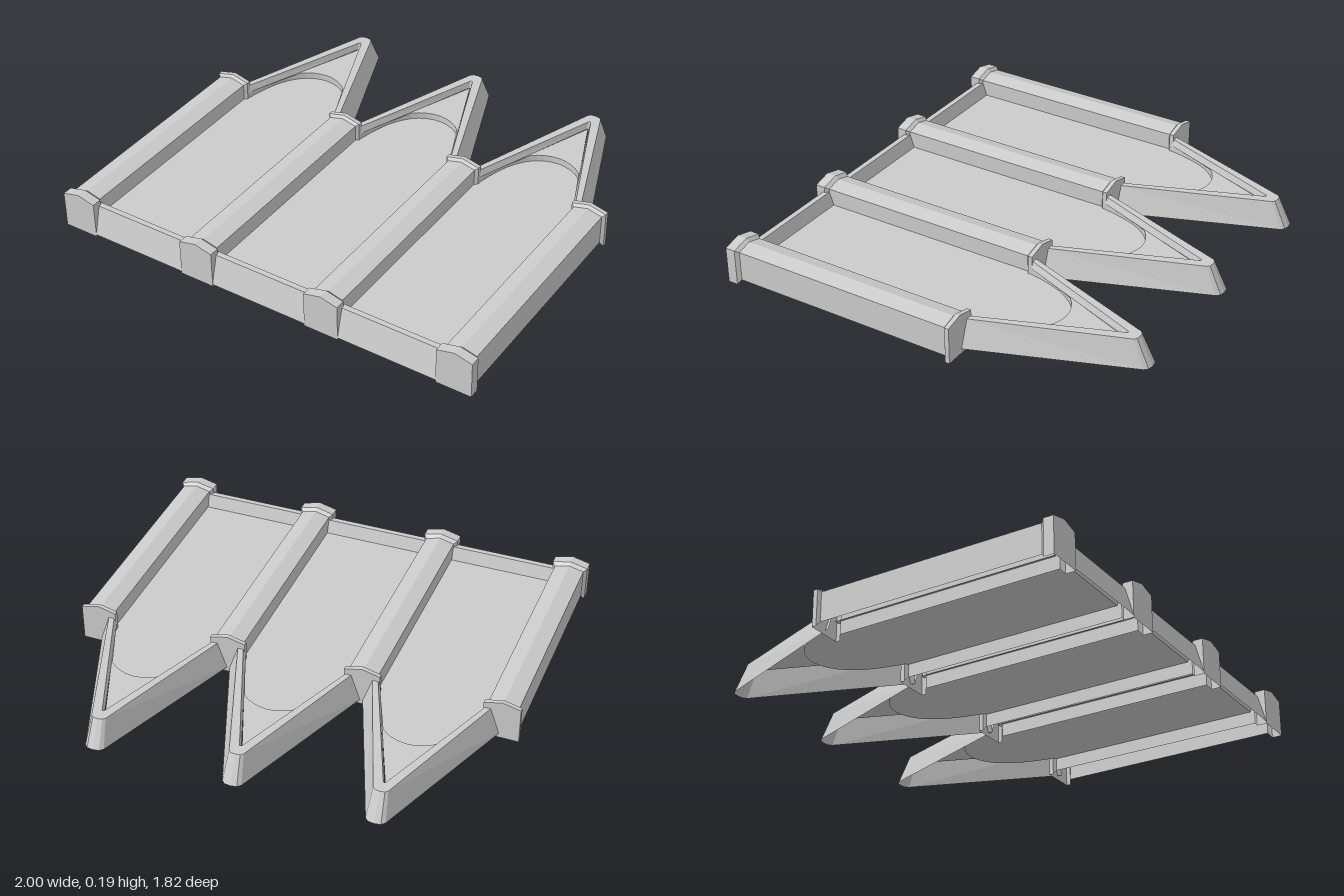
import * as THREE from 'three';

const material = new THREE.MeshStandardMaterial({ color: 0xcccccc, side: THREE.DoubleSide, flatShading: true });

// Skin a series of open cross-sections that share one point count
function skin(name, rings) {
  const pos = [];
  for (let r = 0; r < rings.length - 1; r++) {
    for (let i = 0; i < rings[r].length - 1; i++) {
      const a = rings[r][i], b = rings[r][i + 1], c = rings[r + 1][i + 1], d = rings[r + 1][i];
      pos.push(...a, ...b, ...c, ...a, ...c, ...d);
    }
  }
  const geometry = new THREE.BufferGeometry();
  geometry.setAttribute('position', new THREE.Float32BufferAttribute(pos, 3));
  geometry.computeVertexNormals();
  return named(name, geometry);
}

function named(name, geometry) {
  const mesh = new THREE.Mesh(geometry, material);
  mesh.name = name;
  return mesh;
}

// Flat sheet at height y from [x, z] outline points
function sheet(name, points, y) {
  const geometry = new THREE.ShapeGeometry(new THREE.Shape(points.map(([x, z]) => new THREE.Vector2(x, -z))));
  geometry.rotateX(-Math.PI / 2);
  geometry.translate(0, y, 0);
  return named(name, geometry);
}

// Column: hollow ridged shaft, flared into a base and a capital
function makeColumn(x) {
  const column = new THREE.Group();
  column.name = 'column';
  const section = (z, w, bottom, shoulder, peak) =>
    [[-w, bottom, z], [-w, shoulder, z], [0, peak, z], [w, shoulder, z], [w, bottom, z]];
  const big = (z) => section(z, 0.08, 0, 0.165, 0.185);
  const thin = (z) => section(z, 0.066, 0.02, 0.155, 0.172);
  column.add(skin('columnShaft', [thin(0.85), thin(-0.18)]));
  column.add(skin('columnBase', [big(0.91), big(0.865), thin(0.85)]));
  column.add(skin('columnCapital', [thin(-0.18), big(-0.19), big(-0.21)]));
  for (const z of [0.91, -0.21]) {
    const plate = sheet('columnEndPlate', big(0).map(([px, py]) => [px, -py]), 0);
    plate.geometry.rotateX(Math.PI / 2);
    plate.position.z = z;
    column.add(plate);
  }
  column.position.x = x;
  return column;
}

// Bay: sunken arched panel, sill, and pointed gable frame
function makeBay(x) {
  const bay = new THREE.Group();
  bay.name = 'archedBay';
  const panelY = 0.08, tympanumY = 0.11, rimY = 0.14;

  // Arch outline from left springing to right springing
  const half = [[-0.228, -0.2], [-0.205, -0.3], [-0.165, -0.4], [-0.095, -0.48], [0, -0.51]];
  const archPoints = [...half, ...half.slice(0, -1).reverse().map(([px, pz]) => [-px, pz])];
  const arch = new THREE.CatmullRomCurve3(archPoints.map(([px, pz]) => new THREE.Vector3(px, 0, pz)))
    .getPoints(24).map((p) => [p.x, p.z]);
  const at = (y) => arch.map(([px, pz]) => [px, y, pz]);

  bay.add(sheet('panel', [[-0.25, 0.83], [-0.25, -0.2], ...arch, [0.25, -0.2], [0.25, 0.83]], panelY));
  bay.add(skin('archStep', [at(panelY), at(tympanumY)]));
  bay.add(sheet('tympanum', [[-0.229, -0.2], [0, -0.78], [0.229, -0.2], ...arch.slice().reverse()], tympanumY));

  // Sloped gable frame with a blunt tip
  const ring = (base, tip, z, y) => [
    [-base, y, -0.19], [-tip, y, z + tip * 0.45], [-tip * 0.65, y, z + tip * 0.1], [0, y, z],
    [tip * 0.65, y, z + tip * 0.1], [tip, y, z + tip * 0.45], [base, y, -0.19]];
  bay.add(skin('gableFrame', [
    ring(0.308, 0.042, -0.91, 0.02),
    ring(0.266, 0.032, -0.85, rimY),
    ring(0.241, 0.005, -0.795, rimY),
    ring(0.23, 0.004, -0.778, tympanumY)]));

  // Sill between the column bases
  bay.add(skin('sill', [[0.91, 0.01], [0.875, rimY], [0.85, rimY], [0.83, panelY]]
    .map(([z, y]) => [[-0.25, y, z], [0.25, y, z]])));
  bay.position.x = x;
  return bay;
}

export function createModel() {
  const model = new THREE.Group();
  model.name = 'gothicArcade';
  for (const x of [-0.92, -0.307, 0.307, 0.92]) model.add(makeColumn(x));
  for (const x of [-0.613, 0, 0.613]) model.add(makeBay(x));
  return model;
}
